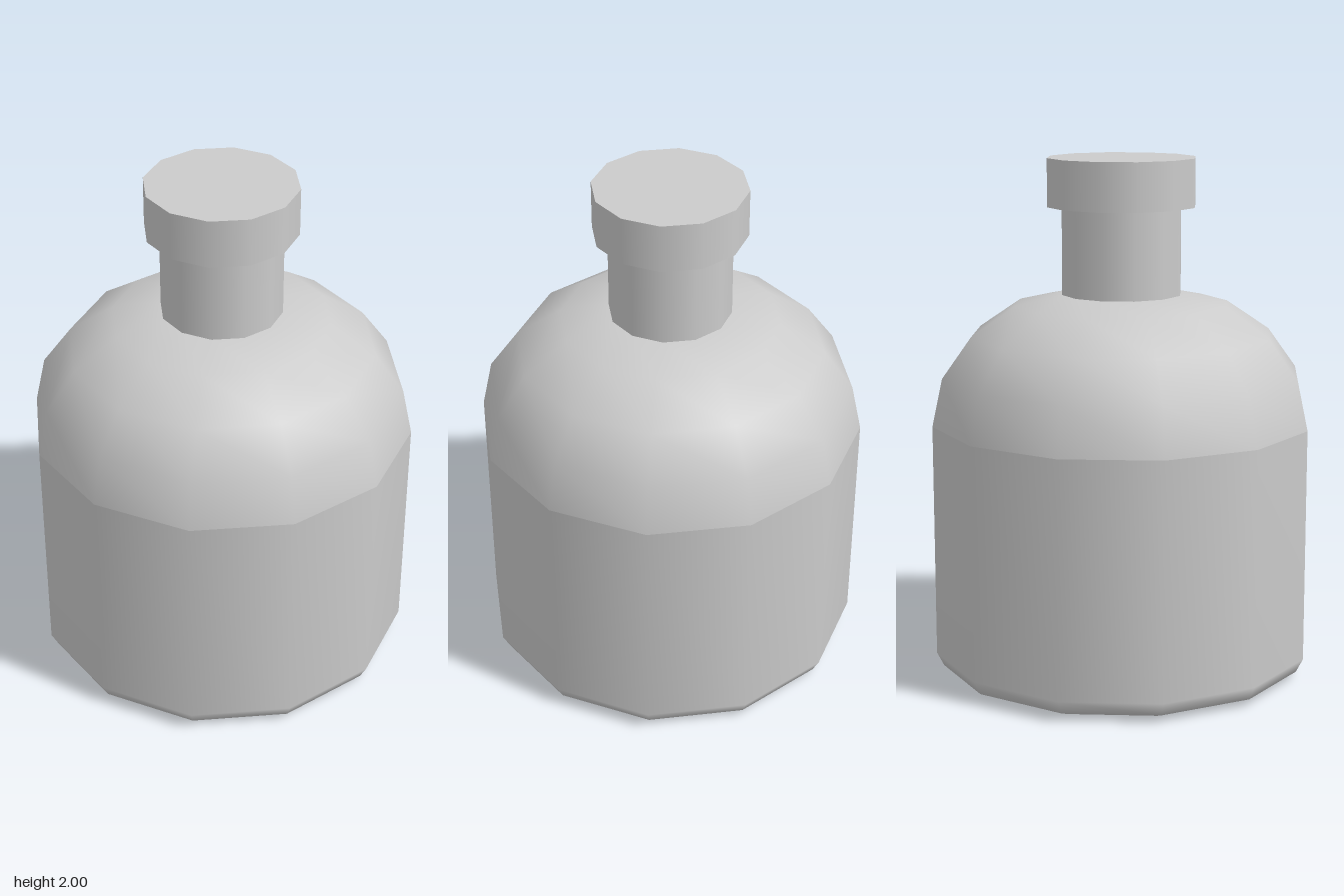
import * as THREE from 'three';

const SIDES = 12;
const material = new THREE.MeshStandardMaterial({ color: 0xcccccc });

function addMesh(group, name, geometry, y = 0) {
  const mesh = new THREE.Mesh(geometry, material);
  mesh.name = name;
  mesh.position.y = y;
  group.add(mesh);
  return mesh;
}

// Turned part from [radius, height] pairs, listed from bottom to top
function turned(profile) {
  return new THREE.LatheGeometry(profile.map(([r, y]) => new THREE.Vector2(r, y)), SIDES);
}

// Closed cylinder between two heights
function addCylinder(group, name, radius, bottom, top) {
  const geometry = new THREE.CylinderGeometry(radius, radius, top - bottom, SIDES);
  return addMesh(group, name, geometry, (bottom + top) / 2);
}

export function createModel() {
  const bottle = new THREE.Group();
  bottle.name = 'bottle';

  // Flat underside, kept separate so its rim stays crisp
  addMesh(bottle, 'base', turned([[0, 0], [0.645, 0]]));

  // Straight wall with a small rounded foot
  addMesh(bottle, 'body', turned([[0.645, 0], [0.713, 0.027], [0.74, 0.08], [0.74, 0.985]]));

  // Domed shoulder, meeting the wall at a hard edge
  addMesh(bottle, 'shoulder', turned([
    [0.74, 0.985], [0.7, 1.17], [0.588, 1.325], [0.418, 1.44], [0.228, 1.48], [0, 1.485],
  ]));

  addCylinder(bottle, 'neck', 0.233, 1.46, 1.83);
  addCylinder(bottle, 'stopper', 0.289, 1.815, 2);

  return bottle;
}
